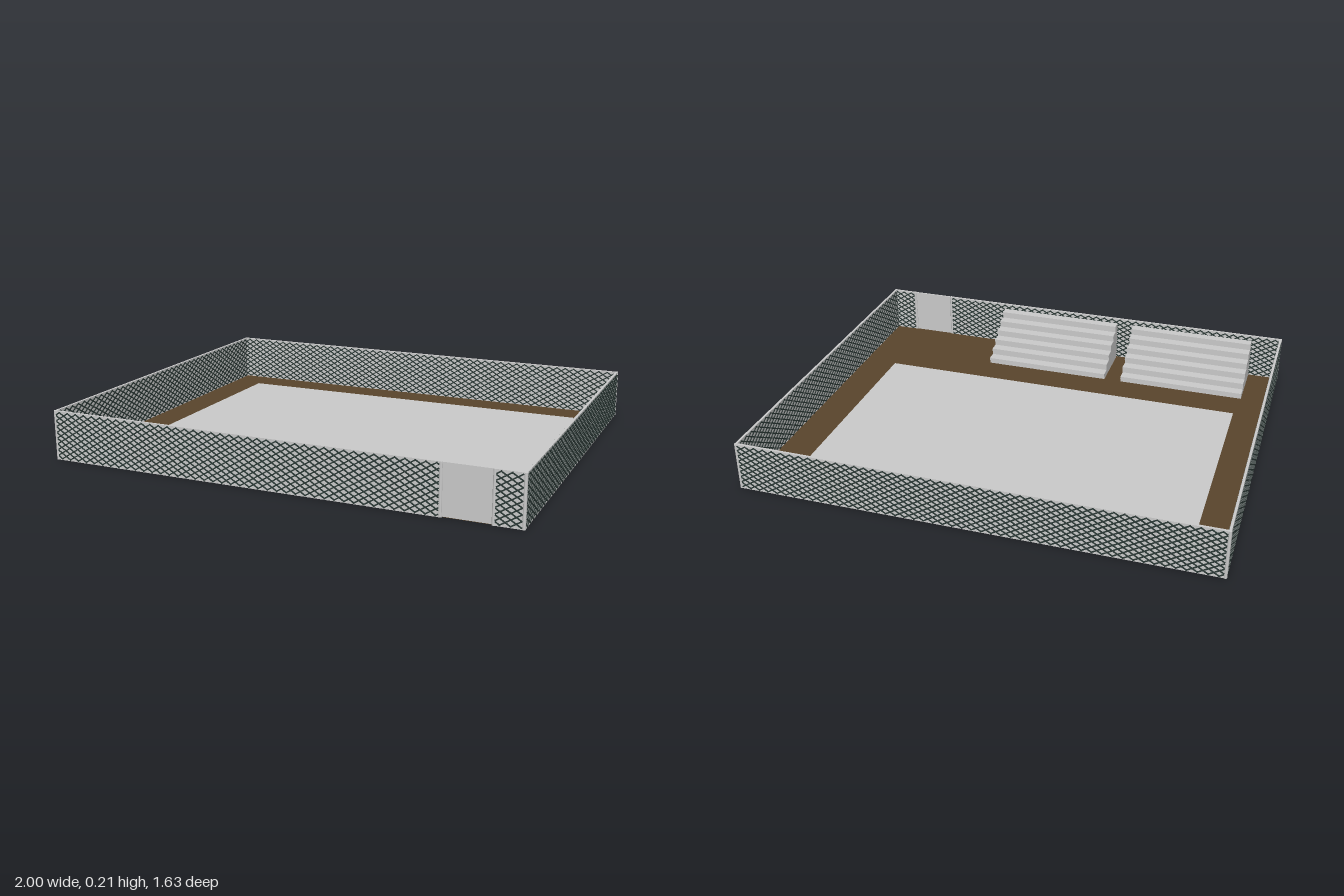
import * as THREE from 'three';
import { mergeGeometries } from 'three/addons/utils/BufferGeometryUtils.js';

const H = 0.21, X = 0.993, Z = 0.807;
const grey = new THREE.MeshStandardMaterial({ color: 0xcccccc });
const earth = new THREE.MeshStandardMaterial({ color: 0x5a452c, side: THREE.DoubleSide });
const wireMat = new THREE.MeshStandardMaterial({ color: 0x2c3a37 });

function box(name, w, h, d, x, y, z, material = grey) {
  const mesh = new THREE.Mesh(new THREE.BoxGeometry(w, h, d), material);
  mesh.name = name;
  mesh.position.set(x, y, z);
  return mesh;
}

// Diagonal wires in both directions, clipped to a length x height rectangle
function wireGeometry(length, height) {
  const slope = 0.62, pitch = 0.04, run = height / slope, parts = [];
  for (const dir of [1, -1]) {
    for (let s = -run + pitch / 2; s < length; s += pitch) {
      const a = Math.max(0, s), b = Math.min(length, s + run);
      if (b - a < 0.004) continue;
      const middle = (a + b) / 2;
      const g = new THREE.BoxGeometry((b - a) * Math.hypot(1, slope), 0.005, 0.014);
      g.rotateZ(dir * Math.atan(slope));
      const y = (middle - s) * slope;
      g.translate(middle - length / 2, dir > 0 ? y : height - y, 0);
      parts.push(g);
    }
  }
  return mergeGeometries(parts);
}

// One run of fence along local x: infill, wires, rails and end posts
function fence(name, length) {
  const g = new THREE.Group();
  g.name = name;
  g.add(box('infill', length, H - 0.008, 0.008, 0, H / 2, 0));
  const wires = new THREE.Mesh(wireGeometry(length - 0.012, H - 0.008), wireMat);
  wires.name = 'wires';
  wires.position.y = 0.004;
  g.add(wires);
  for (const y of [0.003, H - 0.003]) g.add(box('rail', length, 0.006, 0.01, 0, y, 0));
  for (const s of [-1, 1]) {
    const post = new THREE.Mesh(new THREE.CylinderGeometry(0.007, 0.007, H, 12), grey);
    post.name = 'post';
    post.position.set(s * length / 2, H / 2, 0);
    g.add(post);
  }
  return g;
}

// Solid stepped stand, rising towards the front fence
function bleacher(x0, x1) {
  const z0 = 0.54, z1 = 0.79, steps = 6, top = 0.19;
  const depth = (z1 - z0) / steps, rise = top / steps, lip = 0.006;
  const s = new THREE.Shape();
  s.moveTo(z1, 0);
  s.lineTo(z0 + lip, 0);
  for (let i = 0; i < steps; i++) {
    const z = z0 + i * depth, y = (i + 1) * rise;
    s.lineTo(z + lip, y - 0.012);
    s.lineTo(z, y - 0.012);
    s.lineTo(z, y);
    if (i < steps - 1) s.lineTo(z + depth + lip, y);
  }
  s.lineTo(z1, top);
  s.closePath();
  const geo = new THREE.ExtrudeGeometry(s, { depth: x1 - x0, bevelEnabled: false });
  geo.rotateY(-Math.PI / 2); // profile runs along z, extrusion towards -x
  const mesh = new THREE.Mesh(geo, grey);
  mesh.name = 'bleacher';
  mesh.position.x = x1;
  return mesh;
}

export function createModel() {
  const model = new THREE.Group();
  model.name = 'fencedCourt';

  // Ground and playing surface
  model.add(box('ground', 2 * X, 0.002, 2 * Z, 0, 0.002, 0, earth));
  model.add(box('court', 1.68, 0.003, 1.055, -0.005, 0.0035, -0.1325));

  // Stands
  model.add(bleacher(-0.86, -0.28), bleacher(-0.2, 0.385));

  // Back and side fences
  const back = fence('backFence', 2 * X);
  back.position.z = -Z;
  model.add(back);
  for (const s of [-1, 1]) {
    const side = fence(s > 0 ? 'leftFence' : 'rightFence', 2 * Z);
    side.rotation.y = Math.PI / 2;
    side.position.x = s * X;
    model.add(side);
  }

  // Front fence on both sides of the gate
  for (const [a, b] of [[-X, 0.685], [0.883, X]]) {
    const front = fence('frontFence', b - a);
    front.position.set((a + b) / 2, 0, Z);
    model.add(front);
  }

  // Gate
  model.add(box('gate', 0.186, H - 0.006, 0.003, 0.784, H / 2, Z));
  model.add(box('gateRail', 0.186, 0.006, 0.008, 0.784, H - 0.003, Z));
  return model;
}
